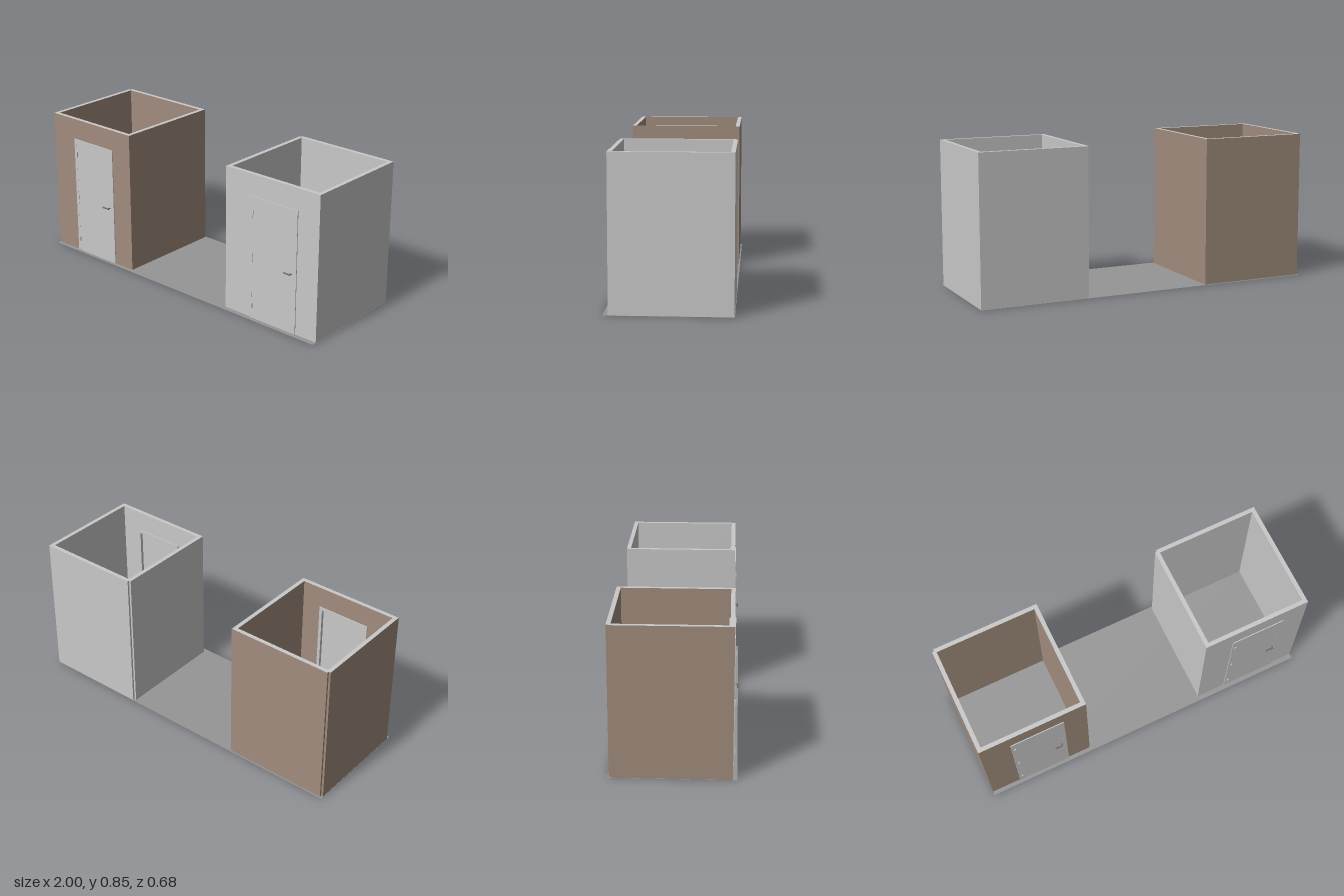
import * as THREE from 'three';

const mat = (name, color) => {
  const m = new THREE.MeshStandardMaterial({ color });
  m.name = name;
  return m;
};

export function createModel() {
  const grey = mat('light grey', 0xc8c8c8);
  const brown = mat('brown plaster', 0xa08c7c);
  const floorGrey = mat('floor grey', 0x969696);
  const metal = mat('handle bronze', 0x7d6a58);
  floorGrey.side = THREE.DoubleSide;

  // Box given by its lower and upper corners
  const box = (parent, name, material, [x0, y0, z0], [x1, y1, z1]) => {
    const mesh = new THREE.Mesh(new THREE.BoxGeometry(x1 - x0, y1 - y0, z1 - z0), material);
    mesh.position.set((x0 + x1) / 2, (y0 + y1) / 2, (z0 + z1) / 2);
    mesh.name = name;
    parent.add(mesh);
  };

  const W = 0.634, D = 0.649, H = 0.845, T = 0.024; // room size and wall thickness
  const D0 = 0.175, D1 = 0.495, DH = 0.722;         // door opening
  const B = 0.001;                                  // wall foot, just above the floor

  // Door in its frame, with hinges and lever; z = 0 is the outer wall face
  function createDoor() {
    const door = new THREE.Group();
    door.name = 'door';
    const F = 0.018, front = 0.005, back = -T - 0.006;
    box(door, 'frameLeftPost', grey, [D0, B, back], [D0 + F, DH, front]);
    box(door, 'frameRightPost', grey, [D1 - F, B, back], [D1, DH, front]);
    box(door, 'frameHead', grey, [D0 + F, DH - F, back], [D1 - F, DH, front]);
    box(door, 'doorLeaf', grey, [D0 + F, B, -0.012], [D1 - F, DH - F, front - 0.0005]);
    for (const y of [0.078, 0.353, 0.63])
      box(door, 'hinge', grey, [D0 + 0.016, y - 0.014, 0], [D0 + 0.024, y + 0.014, 0.011]);

    // Handle: short spindle, then a lever running sideways
    const bar = (name, length) => {
      const mesh = new THREE.Mesh(new THREE.CylinderGeometry(0.0045, 0.0045, length, 16), metal);
      mesh.name = name;
      door.add(mesh);
      return mesh;
    };
    const spindle = bar('handleSpindle', 0.02);
    spindle.rotation.x = Math.PI / 2;
    spindle.position.set(0.461, 0.351, 0.01);
    const lever = bar('handleLever', 0.046);
    lever.rotation.z = Math.PI / 2;
    lever.position.set(0.442, 0.351, 0.0185);
    return door;
  }

  // Open-topped room with its left front corner at the origin
  function createRoom(name, paint) {
    const room = new THREE.Group();
    room.name = name;
    const wall = [paint, paint, grey, paint, paint, paint]; // grey cut on top
    const n = T / 2;                                        // notch at the back corner
    box(room, 'backWall', wall, [n, B, -D], [W, H, -D + T]);
    box(room, 'leftWall', wall, [0, B, -D + n], [T, H, -T]);
    box(room, 'rightWall', wall, [W - T, B, -D + T], [W, H, -T]);
    box(room, 'frontWallLeft', wall, [0, B, -T], [D0, H, 0]);
    box(room, 'frontWallRight', wall, [D1, B, -T], [W, H, 0]);
    box(room, 'lintel', wall, [D0, DH, -T], [D1, H, 0]);
    room.add(createDoor());
    return room;
  }

  const model = new THREE.Group();
  model.name = 'twoRooms';

  const floor = new THREE.Mesh(new THREE.PlaneGeometry(2, 0.68), floorGrey);
  floor.rotation.x = -Math.PI / 2;
  floor.name = 'floor';
  model.add(floor);

  const brownRoom = createRoom('brownRoom', brown);
  brownRoom.position.set(-1, 0, 0.317);
  const greyRoom = createRoom('greyRoom', grey);
  greyRoom.position.set(1 - W, 0, 0.311);
  model.add(brownRoom, greyRoom);
  return model;
}
